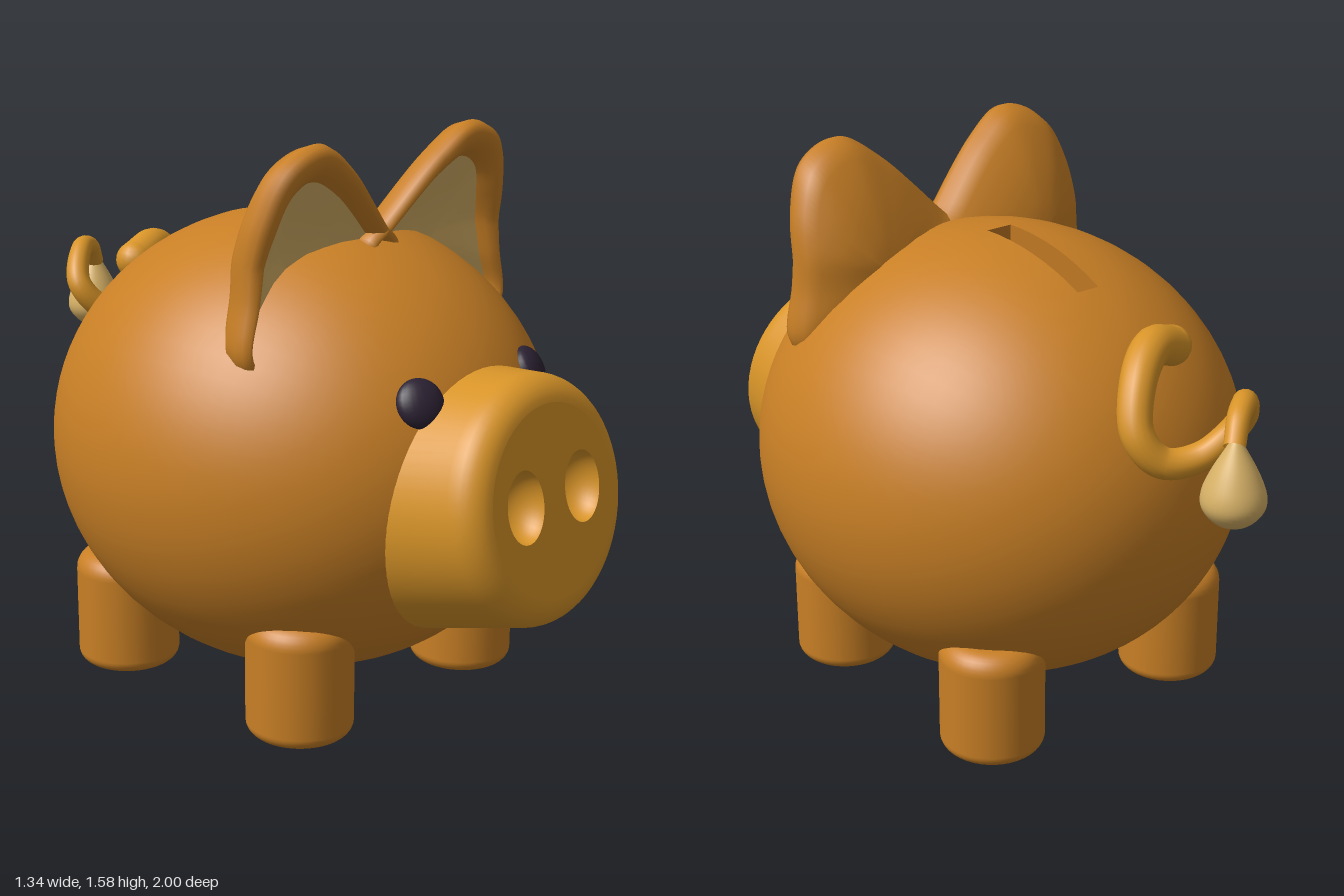
import * as THREE from 'three';

const mat = (name, color) => Object.assign(new THREE.MeshStandardMaterial({ color }), { name });
const V3 = (x, y, z) => new THREE.Vector3(x, y, z);

// Skin a list of closed rings; skip(i, j) leaves a cell open
function skin(rings, skip = () => false) {
  const n = rings[0].length, pos = [], idx = [];
  rings.forEach((ring) => ring.forEach((p) => pos.push(p.x, p.y, p.z)));
  for (let i = 0; i < rings.length - 1; i++) {
    for (let j = 0; j < n; j++) {
      if (skip(i, j)) continue;
      const k = (j + 1) % n;
      const a = i * n + j, b = i * n + k, c = a + n, d = b + n;
      idx.push(a, c, b, b, c, d);
    }
  }
  const geo = new THREE.BufferGeometry();
  geo.setAttribute('position', new THREE.Float32BufferAttribute(pos, 3));
  geo.setIndex(idx);
  geo.computeVertexNormals();
  return geo;
}

function mesh(parent, name, geo, material) {
  const m = new THREE.Mesh(geo, material);
  m.name = name;
  parent.add(m);
  return m;
}

// Quarter-round corner points for lathe profiles
function corner(cx, cy, rx, ry, from, to, steps = 8) {
  return Array.from({ length: steps + 1 }, (_, i) => {
    const a = from + ((to - from) * i) / steps;
    return new THREE.Vector2(cx + rx * Math.cos(a), cy + ry * Math.sin(a));
  });
}

// Body ellipsoid, with poles along z
const R = V3(0.672, 0.645, 0.73), C = V3(0, 0.69, 0.075);

export function createModel() {
  const model = new THREE.Group();
  model.name = 'piggyBank';
  const skinMat = mat('bodyOrange', 0xc87f25);
  const snoutMat = mat('lightOrange', 0xd89428);
  const tanMat = mat('tan', 0xd8b267);
  const eyeMat = mat('eyeDark', 0x2b2132);
  const slotMat = mat('slotOrange', 0xc07822);
  snoutMat.side = slotMat.side = THREE.DoubleSide;

  // Body with an open coin slot along the top
  const cols = 64, half = 0.062, rows = [];
  for (let i = 0; i <= 48; i++) {
    const t = (Math.PI * i) / 48, s = Math.max(Math.sin(t), 1e-4);
    rows.push(Array.from({ length: cols }, (_, j) => {
      const a = half + (j * 2 * (Math.PI - half)) / (cols - 1);
      return V3(C.x + R.x * s * Math.sin(a), C.y + R.y * s * Math.cos(a), C.z - R.z * Math.cos(t));
    }));
  }
  const inSlot = (i, j) => j === cols - 1 && i >= 16 && i < 24;
  mesh(model, 'body', skin(rows, inSlot), skinMat);

  // Coin slot walls and floor
  const slotRows = rows.slice(16, 25);
  const rim = [...slotRows.map((r) => r[0]), ...slotRows.map((r) => r[cols - 1]).reverse()];
  const bottom = rim.map((p) => V3(p.x, p.y - 0.1, p.z));
  const floor = rim.map((p) => V3(0, p.y - 0.1, p.z));
  const slotGeo = skin([rim, bottom, floor]).toNonIndexed();
  slotGeo.computeVertexNormals();
  mesh(model, 'coinSlot', slotGeo, slotMat);

  // Snout: tapered, tilted upward, with rounded rim
  const snout = new THREE.Group();
  snout.name = 'snout';
  snout.position.set(0, 0.7, 0.955);
  snout.rotation.x = Math.PI / 2 - 0.175;
  model.add(snout);
  const snoutProfile = [new THREE.Vector2(0.37, -0.45), ...corner(0.25, -0.08, 0.076, 0.08, 0, Math.PI / 2)];
  mesh(snout, 'snoutSide', new THREE.LatheGeometry(snoutProfile, 64), snoutMat);
  const face = new THREE.Shape().absarc(0, 0, 0.25, 0, Math.PI * 2);
  for (const s of [1, -1]) {
    face.holes.push(new THREE.Path().absellipse(s * 0.118, 0.012, 0.073, 0.094, 0, Math.PI * 2, true));
    const bowl = new THREE.SphereGeometry(1, 32, 12, 0, Math.PI * 2, Math.PI / 2, Math.PI / 2);
    const nostril = mesh(snout, 'nostril', bowl, snoutMat);
    nostril.scale.set(0.074, 0.08, 0.095);
    nostril.position.set(s * 0.118, 0, -0.012);
  }
  mesh(snout, 'snoutFace', new THREE.ShapeGeometry(face, 32).rotateX(-Math.PI / 2), snoutMat);

  // Eyes: flattened balls lying on the body surface
  for (const s of [1, -1]) {
    const eye = mesh(model, s > 0 ? 'leftEye' : 'rightEye', new THREE.SphereGeometry(1, 24, 16), eyeMat);
    eye.position.set(s * 0.225, 0.95, 0.695);
    eye.scale.set(0.065, 0.065, 0.035);
    eye.lookAt(s * 0.725, 1.59, 1.86);
  }

  // Legs: round-edged cylinders
  const legProfile = [
    new THREE.Vector2(0, 0),
    ...corner(0.11, 0.035, 0.036, 0.035, -Math.PI / 2, 0),
    ...corner(0.09, 0.28, 0.056, 0.057, 0, Math.PI / 2),
    new THREE.Vector2(0, 0.337),
  ];
  const legGeo = new THREE.LatheGeometry(legProfile, 40);
  for (const [name, z] of [['frontLeg', 0.395], ['backLeg', -0.295]]) {
    for (const s of [1, -1]) mesh(model, name, legGeo, skinMat).position.set(s * 0.34, 0, z);
  }

  // Ears: cupped shells with a thick rim and tan lining
  const outline = (pts) => new THREE.CatmullRomCurve3(pts.map(([x, y]) => V3(x, y, 0)), true)
    .getPoints(80).slice(0, 80);
  const outer = outline([[-0.06, 1.275], [0, 1.335], [0.17, 1.503], [0.295, 1.575], [0.42, 1.527],
    [0.48, 1.4], [0.5, 1.2], [0.515, 1.04], [0.42, 0.96], [0.15, 1.05]]);
  const inner = outline([[-0.02, 1.25], [0.03, 1.295], [0.19, 1.43], [0.295, 1.475], [0.37, 1.44],
    [0.41, 1.34], [0.45, 1.18], [0.48, 1.06], [0.4, 0.99], [0.16, 1.08]]);
  const mid = outer.map(() => V3(0.28, 1.23, 0));
  const ring = (from, to, k, depth) => from.map((p, j) => {
    const q = p.clone().lerp(to[j], k);
    q.z = 0.338 + Math.max(0, q.y - 1.28) * 0.24 + depth;
    return q;
  });
  const shell = skin([
    ...[[0.001, -0.13], [0.3, -0.122], [0.6, -0.1], [0.85, -0.068], [0.96, -0.04], [1, 0]]
      .map(([k, d]) => ring(mid, outer, k, d)),
    ...[[0.08, 0.026], [0.3, 0.045], [0.6, 0.042], [0.85, 0.025], [1, 0]]
      .map(([k, d]) => ring(outer, inner, k, d)),
  ]);
  const lining = skin([[0, 0], [0.3, -0.02], [0.65, -0.04], [0.999, -0.048]]
    .map(([k, d]) => ring(inner, mid, k, d)));
  for (const s of [1, -1]) {
    const ear = new THREE.Group();
    ear.name = s > 0 ? 'leftEar' : 'rightEar';
    ear.scale.x = s;
    mesh(ear, 'earShell', shell, skinMat);
    mesh(ear, 'earLining', lining, tanMat);
    model.add(ear);
  }

  // Curly tail, thinning toward its tip
  const path = new THREE.CatmullRomCurve3([
    V3(-0.115, 1.12, -0.49), V3(-0.02, 1.145, -0.515), V3(0.07, 1.09, -0.56), V3(0.122, 0.97, -0.615),
    V3(0.075, 0.895, -0.66), V3(-0.02, 0.905, -0.71), V3(-0.098, 1.0, -0.765),
    V3(-0.03, 1.09, -0.835), V3(0.04, 1.08, -0.88), V3(0.085, 1.025, -0.912),
  ]);
  const segs = 96, sides = 16;
  const tailGeo = new THREE.TubeGeometry(path, segs, 0.055, sides);
  const tp = tailGeo.attributes.position, v = V3(0, 0, 0);
  for (let i = 0; i < tp.count; i++) {
    const u = Math.floor(i / (sides + 1)) / segs, c = path.getPointAt(u);
    v.fromBufferAttribute(tp, i).sub(c).multiplyScalar(1 - 0.5 * u).add(c);
    tp.setXYZ(i, v.x, v.y, v.z);
  }
  mesh(model, 'tail', tailGeo, snoutMat);
  mesh(model, 'tailRoot', new THREE.SphereGeometry(0.055, 16, 12), snoutMat).position.copy(path.getPoint(0));

  // Teardrop tuft at the tail tip
  const drop = new THREE.SplineCurve([[0, 0], [0.045, 0.013], [0.078, 0.05], [0.081, 0.09],
    [0.06, 0.145], [0.03, 0.2], [0.012, 0.23], [0, 0.243]].map(([x, y]) => new THREE.Vector2(x, y)));
  const dropPts = drop.getPoints(28).map((p) => p.setX(Math.max(0, p.x)));
  mesh(model, 'tailTuft', new THREE.LatheGeometry(dropPts, 32), tanMat).position.set(0.085, 0.815, -0.917);

  return model;
}
